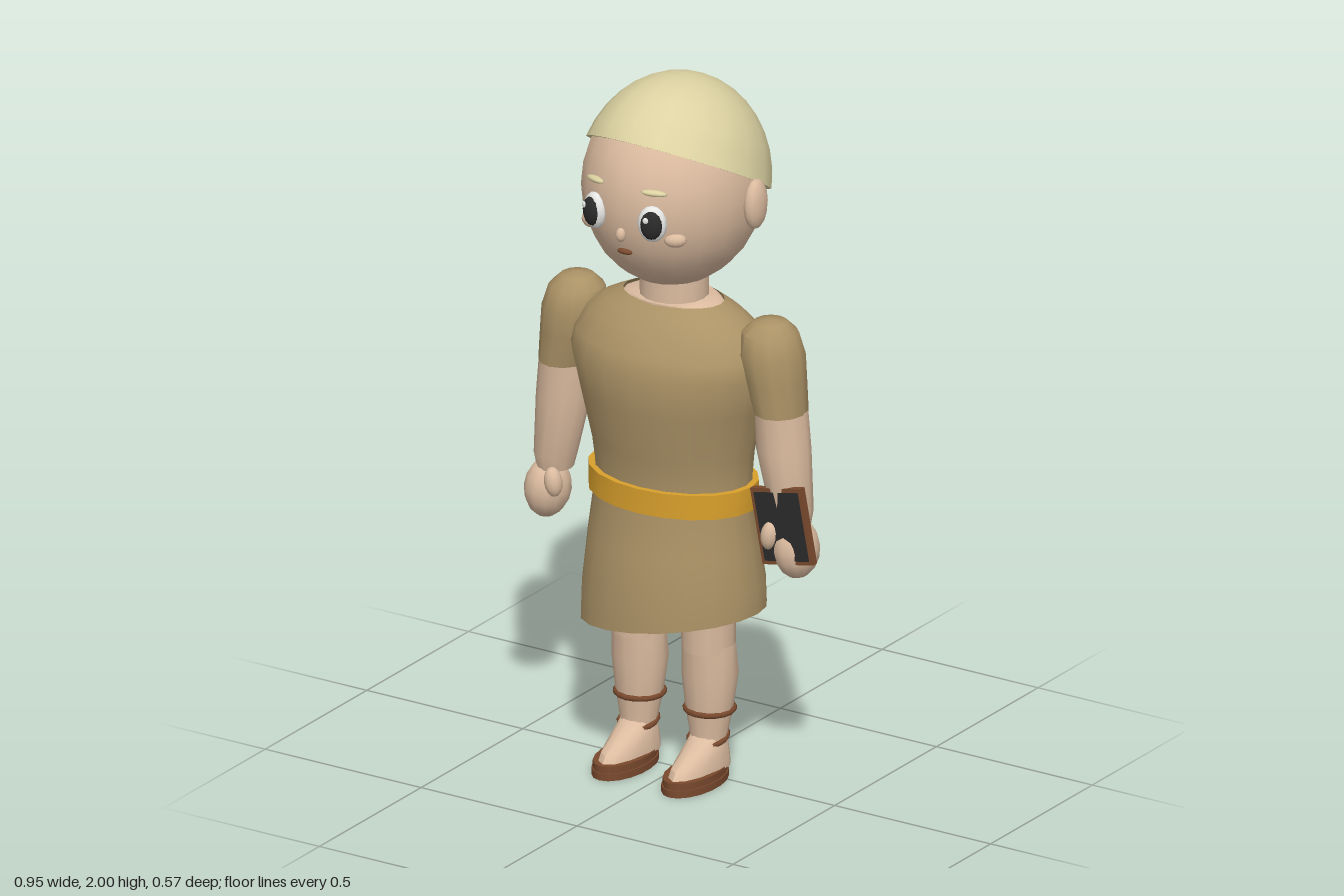
import * as THREE from 'three';
import { toCreasedNormals } from 'three/addons/utils/BufferGeometryUtils.js';

const material = (name, color, side = THREE.FrontSide) => {
  const m = new THREE.MeshStandardMaterial({ color, side });
  m.name = name;
  return m;
};

// Skin through oval rings listed bottom to top: [y, half width, front z, back z, centre x, sideways tilt]
function loft(rings, sides = 16, crease = 0.8) {
  const pos = [], index = [];
  rings.forEach(([y, rx, front, back, cx = 0, tilt = 0], j) => {
    for (let i = 0; i < sides; i++) {
      const a = (i / sides) * Math.PI * 2, x = rx * Math.sin(a), c = Math.cos(a);
      pos.push(cx + x, y + x * tilt, c * (c > 0 ? front : back));
      if (j === rings.length - 1) continue;
      const n = (i + 1) % sides, lo = j * sides, hi = lo + sides;
      index.push(lo + i, lo + n, hi + n, lo + i, hi + n, hi + i);
    }
  });
  const g = new THREE.BufferGeometry();
  g.setAttribute('position', new THREE.Float32BufferAttribute(pos, 3));
  g.setIndex(index);
  return toCreasedNormals(g, crease);
}

export function createModel() {
  const skin = material('skin', 0xdcbca0);
  const cloth = material('tunic cloth', 0xab9266, THREE.DoubleSide);
  const hair = material('blond hair', 0xdcd2a2, THREE.DoubleSide);
  const gold = material('belt gold', 0xd9a02c, THREE.DoubleSide);
  const leather = material('brown leather', 0x7a4a2e);
  const white = material('eye white', 0xf0f0ee);
  const dark = material('dark', 0x2b2b2b);

  const model = new THREE.Group();
  const body = new THREE.Group();
  body.name = 'figure';
  body.position.x = -0.015;
  model.add(body);

  const add = (name, geometry, mat, parent = body) => {
    const m = new THREE.Mesh(geometry, mat);
    m.name = name;
    parent.add(m);
    return m;
  };
  const ball = (name, mat, [x, y, z], [rx, ry, rz], parent = body, w = 12, h = 8) => {
    const m = add(name, new THREE.SphereGeometry(1, w, h), mat, parent);
    m.position.set(x, y, z);
    m.scale.set(rx, ry, rz);
    return m;
  };

  // Head and neck
  ball('head', skin, [0, 1.7, 0], [0.243, 0.287, 0.266], body, 20, 14);
  add('neck', loft([[1.33, 0.095, 0.09, 0.095], [1.46, 0.095, 0.09, 0.095]]), skin);
  add('neckline', loft([[1.365, 0.15, 0.1, 0.1], [1.376, 0.125, 0.1, 0.1], [1.378, 0, 0, 0]]), skin);

  // Hair: a cap with a turned-in rim, tipped towards the back
  const profile = [new THREE.Vector2(0.9, 0.17)];
  for (let i = 0; i <= 8; i++) {
    const t = 1.404 * (1 - i / 8);
    profile.push(new THREE.Vector2(Math.sin(t), Math.cos(t)));
  }
  const cap = new THREE.LatheGeometry(profile, 18);
  cap.rotateX(-0.504).scale(0.252, 0.3, 0.292).translate(0, 1.7, 0);
  add('hair', toCreasedNormals(cap, 0.8), hair);

  // Face
  ball('nose', skin, [0, 1.63, 0.262], [0.014, 0.02, 0.014]);
  ball('mouth', leather, [0, 1.575, 0.242], [0.024, 0.008, 0.01]);
  for (const s of [-1, 1]) {
    ball('ear', skin, [s * 0.252, 1.682, -0.015], [0.027, 0.072, 0.045]);
    ball('cheek', skin, [s * 0.138, 1.625, 0.205], [0.031, 0.02, 0.018]).rotation.y = s * 0.55;
    const brow = ball('eyebrow', hair, [s * 0.094, 1.764, 0.242], [0.037, 0.009, 0.012]);
    brow.rotation.set(0, s * 0.4, s * -0.06);
    const eye = new THREE.Group();
    eye.name = 'eye';
    eye.position.set(s * 0.092, 1.677, 0.248);
    eye.rotation.y = s * 0.36;
    body.add(eye);
    ball('eyeball', white, [0, 0, 0], [0.041, 0.052, 0.022], eye);
    ball('pupil', dark, [0, 0, 0.012], [0.031, 0.041, 0.018], eye);
    ball('glint', white, [-0.013, 0.018, 0.027], [0.008, 0.009, 0.004], eye);
  }

  // Tunic with a slanted hem
  add('tunic', loft([
    [0.458, 0.268, 0.215, 0.21, 0, 0.157],
    [0.54, 0.265, 0.213, 0.208, 0, 0.11],
    [0.67, 0.25, 0.193, 0.185, 0, 0.04],
    [0.79, 0.235, 0.167, 0.157],
    [0.87, 0.232, 0.165, 0.15],
    [0.95, 0.24, 0.178, 0.15],
    [1.09, 0.272, 0.205, 0.15],
    [1.2, 0.302, 0.215, 0.15],
    [1.25, 0.295, 0.198, 0.15],
    [1.31, 0.257, 0.16, 0.145],
    [1.345, 0.21, 0.13, 0.125],
    [1.373, 0.15, 0.098, 0.098],
  ], 20), cloth);

  // Belt band with thickness
  add('belt', loft([
    [0.795, 0.23, 0.16, 0.15], [0.795, 0.25, 0.181, 0.17],
    [0.865, 0.25, 0.181, 0.17], [0.865, 0.23, 0.16, 0.15],
  ], 20), gold);

  for (const s of [-1, 1]) {
    // Arm
    add('sleeve', loft([
      [1.11, 0.072, 0.085, 0.075, s * 0.345],
      [1.2, 0.083, 0.092, 0.083, s * 0.328],
      [1.27, 0.09, 0.095, 0.088, s * 0.316],
      [1.33, 0.077, 0.08, 0.075, s * 0.31],
      [1.36, 0.045, 0.045, 0.045, s * 0.31],
      [1.368, 0, 0, 0, s * 0.31],
    ], 12), cloth);
    add('forearm', loft([
      [0.79, 0.05, 0.055, 0.05, s * 0.38],
      [0.83, 0.058, 0.067, 0.06, s * 0.378],
      [1.0, 0.076, 0.075, 0.068, s * 0.353],
      [1.13, 0.07, 0.082, 0.072, s * 0.345],
    ], 12), skin);
    ball('hand', skin, [s * 0.398, 0.727, 0.01], [0.063, 0.086, 0.07]).rotation.z = s * 0.1;
    ball('thumb', skin, [s * 0.347, 0.768, 0.062], [0.025, 0.042, 0.025]).rotation.z = s * -0.15;

    // Leg, foot and sandal
    const leg = new THREE.Group();
    leg.name = 'leg';
    leg.position.x = s * 0.112;
    body.add(leg);
    add('thigh', loft([
      [0.37, 0.074, 0.073, 0.07], [0.5, 0.077, 0.08, 0.065], [0.75, 0.085, 0.09, 0.08],
    ], 12), skin, leg);
    add('calf', loft([
      [0.09, 0.05, 0.05, 0.045], [0.14, 0.055, 0.052, 0.05], [0.2, 0.066, 0.06, 0.066],
      [0.3, 0.077, 0.068, 0.09], [0.39, 0.075, 0.073, 0.066],
    ], 12), skin, leg);
    add('foot', loft([
      [0.035, 0.06, 0.182, 0.055], [0.06, 0.058, 0.165, 0.055], [0.095, 0.053, 0.1, 0.052],
      [0.125, 0.046, 0.05, 0.045], [0.13, 0, 0, 0],
    ], 14), skin, leg);
    for (const [y, r, h] of [[0, 0.07, 0.02], [0.02, 0.066, 0.02]]) {
      const sole = add('sandalSole', new THREE.CylinderGeometry(1, 1, h, 18), leather, leg);
      sole.scale.set(r, 1, r + 0.058);
      sole.position.set(0, y + h / 2, 0.068);
    }
    for (const [y, r, z, tilt] of [[0.195, 0.066, -0.004, 0], [0.115, 0.052, 0.003, 0.25]]) {
      const strap = add('sandalStrap', new THREE.TorusGeometry(r, 0.008, 6, 16), leather, leg);
      strap.position.set(0, y, z);
      strap.rotation.x = Math.PI / 2 + tilt;
    }
  }

  // Writing tablet held in the left hand
  const tablet = new THREE.Group();
  tablet.name = 'tablet';
  tablet.position.set(0.387, 0.802, 0.055);
  tablet.rotation.z = 0.19;
  body.add(tablet);
  add('tabletBoard', new THREE.BoxGeometry(0.165, 0.216, 0.02), leather, tablet);
  add('tabletPanel', new THREE.BoxGeometry(0.143, 0.194, 0.006), dark, tablet).position.z = 0.01;
  return model;
}
